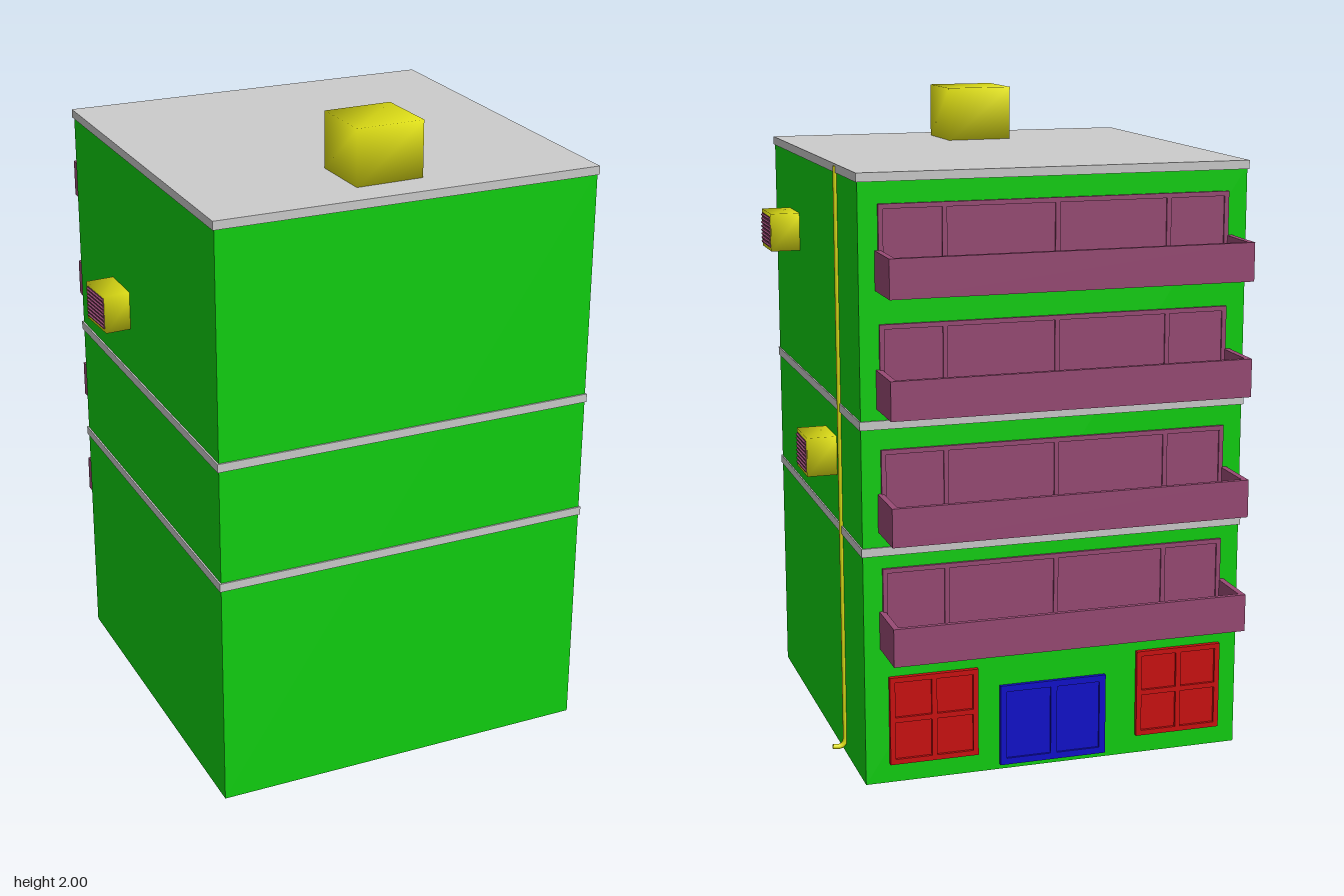
import * as THREE from 'three';
import { mergeVertices } from 'three/addons/utils/BufferGeometryUtils.js';

const mat = (color) => new THREE.MeshStandardMaterial({ color });
const GREY = mat(0xcccccc), GREEN = mat(0x10d010), PLUM = mat(0x984a74);
const YELLOW = mat(0xe4e416), RED = mat(0xcc1010), BLUE = mat(0x1010cc);
const BACK = -0.51;

function add(parent, name, geometry, material) {
  const mesh = new THREE.Mesh(geometry, material);
  mesh.name = name;
  parent.add(mesh);
  return mesh;
}

// box given by its limits on each axis
function block(parent, name, material, [x0, x1], [y0, y1], [z0, z1]) {
  const mesh = add(parent, name, new THREE.BoxGeometry(x1 - x0, y1 - y0, z1 - z0), material);
  mesh.position.set((x0 + x1) / 2, (y0 + y1) / 2, (z0 + z1) / 2);
  return mesh;
}

// box with normals shared round its corners, for a softly shaded casing
function softBox(w, h, d) {
  const g = new THREE.BoxGeometry(w, h, d);
  g.deleteAttribute('normal');
  g.deleteAttribute('uv');
  const merged = mergeVertices(g);
  merged.computeVertexNormals();
  return merged;
}

function rectangle(path, x0, x1, y0, y1) {
  path.moveTo(x0, y0);
  path.lineTo(x1, y0);
  path.lineTo(x1, y1);
  path.lineTo(x0, y1);
  path.closePath();
  return path;
}

// framed opening on the back wall; xs and ys hold the bar centres, edges included
function framedPanel(parent, name, material, xs, ys, depth, bar) {
  const group = new THREE.Group();
  group.name = name;
  const x0 = xs[0], x1 = xs[xs.length - 1], y0 = ys[0], y1 = ys[ys.length - 1];
  const shape = rectangle(new THREE.Shape(), x0, x1, y0, y1);
  const inset = (list, i) => (i === 0 || i === list.length - 1 ? bar : bar / 2);
  for (let i = 0; i < xs.length - 1; i++) {
    for (let j = 0; j < ys.length - 1; j++) {
      shape.holes.push(rectangle(new THREE.Path(),
        xs[i] + inset(xs, i), xs[i + 1] - inset(xs, i + 1),
        ys[j] + inset(ys, j), ys[j + 1] - inset(ys, j + 1)));
    }
  }
  const frame = add(group, name + 'Frame',
    new THREE.ExtrudeGeometry(shape, { depth: depth + 0.004, bevelEnabled: false }), material);
  frame.position.z = BACK - depth;
  block(group, name + 'Panes', material, [x0 + 0.004, x1 - 0.004], [y0 + 0.004, y1 - 0.004],
    [BACK - depth * 0.4, BACK + 0.004]);
  parent.add(group);
}

// wall cooler facing +x, its back on the local origin
function cooler(parent, name, x, y, z, turn) {
  const group = new THREE.Group();
  group.name = name;
  add(group, 'coolerCasing', softBox(0.1, 0.12, 0.15), YELLOW).position.x = 0.04;
  block(group, 'coolerGrille', PLUM, [0.08, 0.0915], [-0.049, 0.049], [-0.063, 0.063]);
  const slats = 8;
  for (let i = 0; i < slats; i++) {
    const slat = add(group, 'coolerSlat', new THREE.BoxGeometry(0.008, 0.005, 0.124), PLUM);
    slat.position.set(0.092, -0.043 + (i * 0.086) / (slats - 1), 0);
    slat.rotation.z = -0.4;
  }
  group.position.set(x, y, z);
  group.rotation.y = turn;
  parent.add(group);
}

export function createModel() {
  const model = new THREE.Group();
  model.name = 'apartmentBlock';

  // walls, ledges between storeys and roof slab
  block(model, 'walls', GREEN, [-0.6, 0.588], [0, 1.815], [BACK, 0.675]);
  for (const y of [0.71, 1.09, 1.805]) {
    block(model, y > 1.5 ? 'roofSlab' : 'ledge', GREY, [-0.605, 0.592], [y, y + 0.026], [-0.515, 0.68]);
  }

  // four balconies, each with a wide window behind
  for (const y of [0.424, 0.782, 1.15, 1.495]) {
    const balcony = new THREE.Group();
    balcony.name = 'balcony';
    const rail = [y, y + 0.115];
    block(balcony, 'balconyFloor', PLUM, [-0.555, 0.54], [y, y + 0.018], [-0.68, BACK]);
    block(balcony, 'balconyFront', PLUM, [-0.555, 0.54], rail, [-0.68, -0.665]);
    block(balcony, 'balconySide', PLUM, [-0.555, -0.537], rail, [-0.668, BACK]);
    block(balcony, 'balconySide', PLUM, [0.522, 0.54], rail, [-0.668, BACK]);
    framedPanel(balcony, 'balconyWindow', PLUM,
      [-0.54, -0.35, -0.005, 0.335, 0.53], [y + 0.015, y + 0.247], 0.009, 0.014);
    model.add(balcony);
  }

  // entrance and ground floor windows
  framedPanel(model, 'entranceDoor', BLUE, [-0.167, 0, 0.17], [0.016, 0.27], 0.012, 0.02);
  for (const x of [-0.405, 0.378]) {
    framedPanel(model, 'groundWindow', RED, [x - 0.137, x, x + 0.137], [0.06, 0.2, 0.334], 0.015, 0.016);
  }

  // wall coolers
  cooler(model, 'upperCooler', 0.59, 1.56, 0.375, 0);
  cooler(model, 'lowerCooler', 0.59, 0.94, -0.115, 0);
  cooler(model, 'sideCooler', -0.594, 1.32, -0.115, Math.PI + 0.06);

  // tank on the roof
  const tank = add(model, 'roofTank', softBox(0.21, 0.172, 0.204), YELLOW);
  tank.position.set(-0.03, 1.914, 0.47);
  tank.rotation.y = 0.03;

  // drainpipe with a spout at the foot
  const route = new THREE.CurvePath();
  const point = (x, y) => new THREE.Vector3(x, y, -0.246);
  route.add(new THREE.LineCurve3(point(0.59, 1.825), point(0.59, 0.05)));
  route.add(new THREE.QuadraticBezierCurve3(point(0.59, 0.05), point(0.592, 0.024), point(0.612, 0.023)));
  route.add(new THREE.LineCurve3(point(0.612, 0.023), point(0.63, 0.025)));
  const pipe = add(model, 'drainpipe', new THREE.TubeGeometry(route, 200, 0.008, 10), YELLOW);
  pipe.material = YELLOW.clone();
  pipe.material.side = THREE.DoubleSide;

  return model;
}
